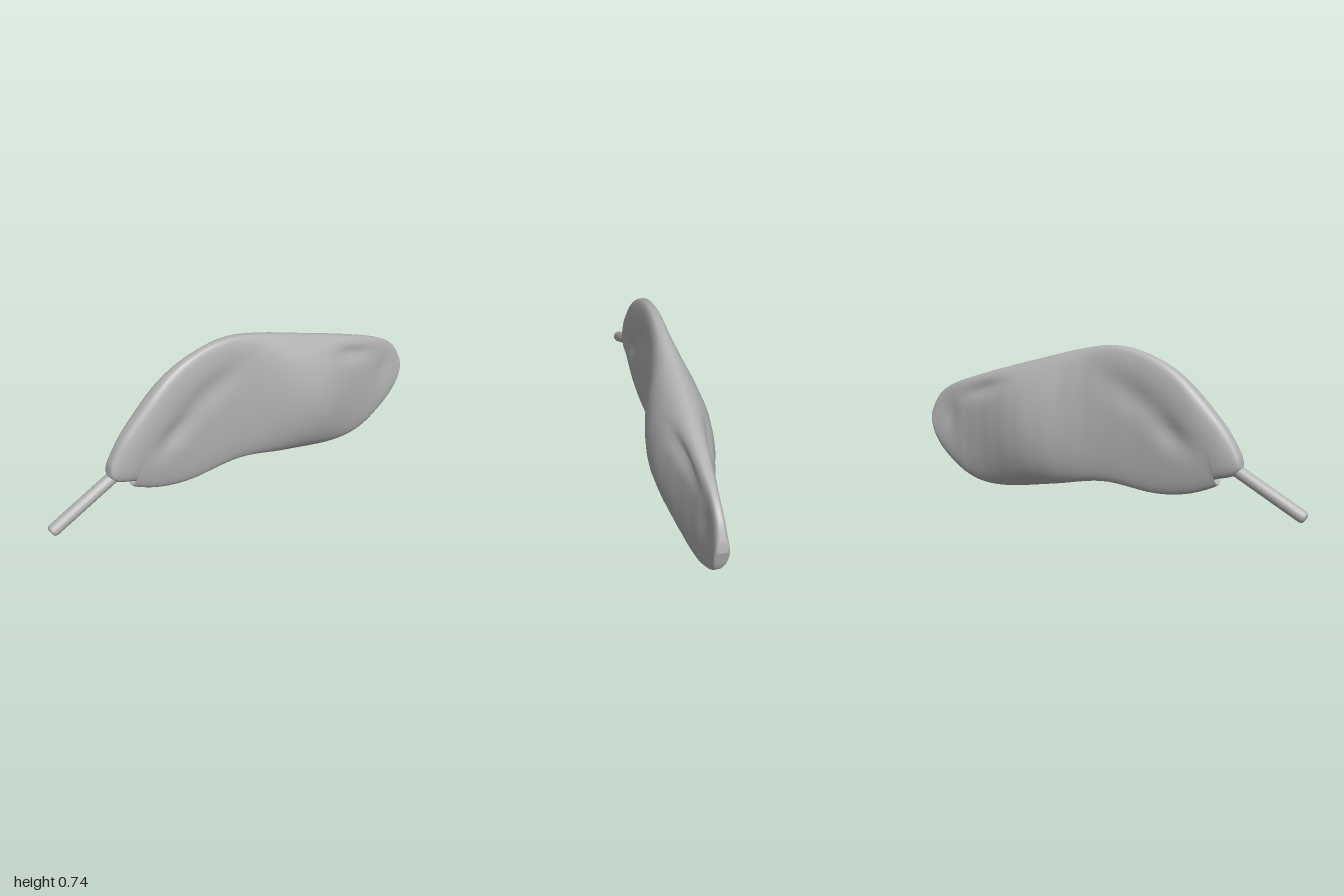
import * as THREE from 'three';
import { mergeVertices } from 'three/addons/utils/BufferGeometryUtils.js';

// paired points along the upper and lower edge, from the stem to the far tip
const UPPER = [[-.7, .25], [-.68, .32], [-.6, .44], [-.42, .62], [-.25, .71], [-.08, .742], [.1, .715],
  [.35, .65], [.6, .58], [.83, .505], [.93, .445], [.98, .37], [.995, .31]];
const LOWER = [[-.7, .25], [-.66, .21], [-.57, .18], [-.585, .155], [-.45, .1], [-.28, .08], [-.02, .1],
  [.25, .05], [.52, .005], [.7, .012], [.84, .075], [.95, .18], [.995, .31]];

// half thickness along x
const THICK = [[-.7, .035], [-.6, .05], [-.45, .055], [-.2, .048], [-.05, .055], [.05, .067], [.15, .095],
  [.25, .13], [.35, .145], [.45, .134], [.55, .105], [.65, .075], [.75, .052], [.85, .038], [1, .032]];

// shallow dents: x, y, length, width, tilt, depth
const DENTS = [[-.2, .52, .17, .06, .5, .35], [-.38, .37, .1, .05, .6, .4],
  [.64, .49, .13, .03, -.3, .35], [.87, .35, .06, .09, 0, .3]];

const curve = (pts) => new THREE.CatmullRomCurve3(
  pts.map(([x, y]) => new THREE.Vector3(x, y, 0)), false, 'catmullrom', 0.5);

function thickness(x) {
  let i = 0;
  while (i < THICK.length - 2 && x > THICK[i + 1][0]) i++;
  const [x0, h0] = THICK[i], [x1, h1] = THICK[i + 1];
  const t = THREE.MathUtils.smoothstep(x, x0, x1) * 0.3 + THREE.MathUtils.clamp((x - x0) / (x1 - x0), 0, 1) * 0.7;
  return h0 + (h1 - h0) * t;
}

function dent(x, y) {
  let k = 1;
  for (const [cx, cy, l, w, tilt, depth] of DENTS) {
    const dx = x - cx, dy = y - cy, c = Math.cos(tilt), s = Math.sin(tilt);
    const a = (dx * c + dy * s) / l, b = (dy * c - dx * s) / w;
    k -= depth * Math.exp(-a * a - b * b);
  }
  return Math.max(k, 0.2);
}

// closed cross-sections lofted between the two edges
function bodyGeometry(rows = 110, sides = 56) {
  const upper = curve(UPPER), lower = curve(LOWER);
  const pos = [], index = [];
  for (let i = 0; i <= rows; i++) {
    const r = i / rows;
    const u = 0.4 * r + 0.3 * (1 - Math.cos(Math.PI * r));
    const top = upper.getPoint(u), bottom = lower.getPoint(u);
    const d = Math.min(1, Math.min(u, 1 - u) * 14);
    const end = Math.sqrt(Math.max(0, 1 - (1 - d) ** 2));
    for (let j = 0; j < sides; j++) {
      const a = (j / sides) * Math.PI * 2;
      const p = top.clone().lerp(bottom, (1 - Math.cos(a)) / 2);
      const h = thickness(p.x);
      const power = 0.6 + 0.55 * THREE.MathUtils.clamp((h - 0.05) / 0.095, 0, 1);
      const sn = Math.sin(a);
      const z = Math.abs(sn) < 1e-6 ? 0 : Math.sign(sn) * Math.abs(sn) ** power;
      pos.push(p.x, p.y, z * h * end * dent(p.x, p.y));
      if (i < rows) {
        const k = (j + 1) % sides, A = i * sides, B = A + sides;
        index.push(A + j, A + k, B + j, A + k, B + k, B + j);
      }
    }
  }
  const geo = new THREE.BufferGeometry();
  geo.setAttribute('position', new THREE.Float32BufferAttribute(pos, 3));
  geo.setIndex(index);
  const merged = mergeVertices(geo, 1e-5);
  merged.computeVertexNormals();
  return merged;
}

export function createModel() {
  const grey = new THREE.MeshStandardMaterial({ color: 0xb2b2b2 });
  grey.name = 'grey';
  const group = new THREE.Group();
  group.name = 'pod';

  const body = new THREE.Mesh(bodyGeometry(), grey);
  body.name = 'body';
  group.add(body);

  // round stem with a softened outer end
  const profile = [[0, 0], [.017, 0], [.024, .005], [.028, .016], [.028, .36], [0, .37]]
    .map(([x, y]) => new THREE.Vector2(x, y));
  const stem = new THREE.Mesh(new THREE.LatheGeometry(profile, 20), grey);
  stem.name = 'stem';
  stem.position.set(-.98, .066, 0);
  stem.rotation.z = -1.07;
  group.add(stem);
  return group;
}
